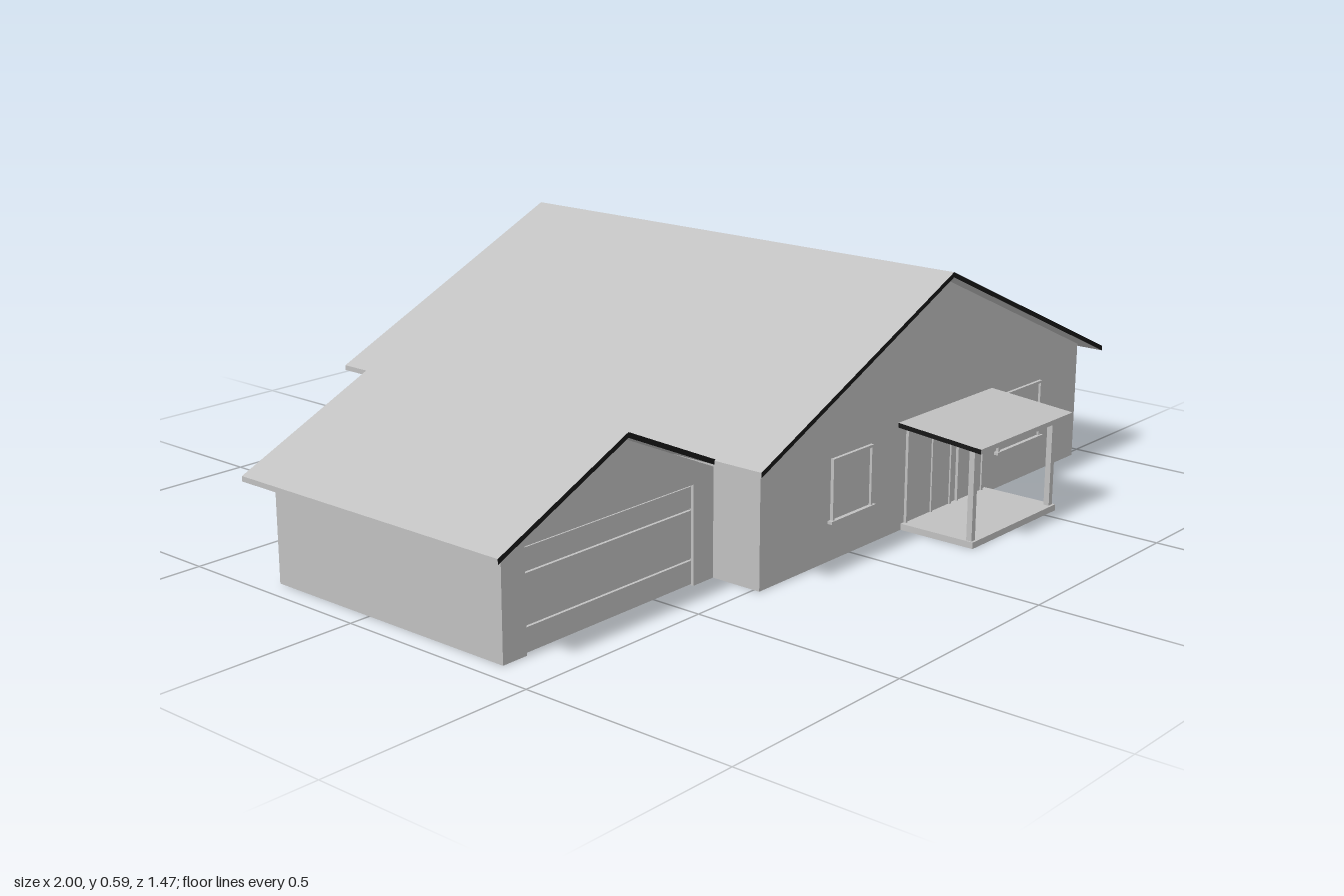
import * as THREE from 'three';

const siding = new THREE.MeshStandardMaterial({ color: 0xc0c0c0, side: THREE.DoubleSide });
siding.name = 'light grey';
const trim = new THREE.MeshStandardMaterial({ color: 0x161616 });
trim.name = 'black edge trim';

function add(parent, name, geometry, material = siding) {
  const mesh = new THREE.Mesh(geometry, material);
  mesh.name = name;
  parent.add(mesh);
  return mesh;
}

// Box given by its min and max corners
function box(parent, name, [x0, y0, z0], [x1, y1, z1]) {
  const mesh = add(parent, name, new THREE.BoxGeometry(x1 - x0, y1 - y0, z1 - z0));
  mesh.position.set((x0 + x1) / 2, (y0 + y1) / 2, (z0 + z1) / 2);
  return mesh;
}

// Outline in x and y, pushed from z0 to z1
function prism(points, z0, z1) {
  const shape = new THREE.Shape(points.map(([x, y]) => new THREE.Vector2(x, y)));
  return new THREE.ExtrudeGeometry(shape, { depth: z1 - z0, bevelEnabled: false }).translate(0, 0, z0);
}

// Gabled roof sheet with dark edges on both gable ends
function gableRoof(parent, name, [xl, yl], [xm, ym], [xr, yr], z0, z1) {
  const t = 0.012;
  const outline = [[xl, yl - t], [xm, ym - t], [xr, yr - t], [xr, yr], [xm, ym], [xl, yl]];
  add(parent, name, prism(outline, z0, z1), [trim, siding]);
}

// Window with proud frame, pane, centre bar and sill; its back lies on local z = 0
function makeWindow(parent, w, x, z, turn, bar) {
  const g = new THREE.Group();
  g.name = 'window';
  const y0 = 0.095, y1 = 0.235, f = 0.006, h = w / 2;
  box(g, 'windowPane', [-h, y0, 0], [h, y1, 0.002]);
  for (const s of [-1, 1]) {
    const a = s * h, b = s * (h - f);
    box(g, 'windowJamb', [Math.min(a, b), y0, 0], [Math.max(a, b), y1, 0.008]);
  }
  box(g, 'windowHead', [-h + f, y1 - f, 0], [h - f, y1, 0.008]);
  if (bar) box(g, 'windowBar', [-f / 2, y0, 0], [f / 2, y1 - f, 0.006]);
  box(g, 'windowSill', [-h - 0.008, y0 - 0.007, 0], [h + 0.008, y0, 0.012]);
  g.position.set(x, 0, z);
  g.rotation.y = turn;
  parent.add(g);
}

function makeHouse() {
  const g = new THREE.Group();
  g.name = 'mainHouse';
  const zb = -0.69, zf = 0.515;
  add(g, 'houseWalls', prism([[-0.32, 0], [0.95, 0], [0.95, 0.292], [0.315, 0.574], [-0.32, 0.292]], zb, zf));
  gableRoof(g, 'houseRoof', [-0.37, 0.284], [0.315, 0.588], [1, 0.284], -0.735, 0.557);

  // Windows on the front, back and right-hand walls
  for (const [w, x] of [[0.147, -0.002], [0.187, 0.682]]) {
    makeWindow(g, w, x, zf, 0, false);
    makeWindow(g, 0.152, x, zb, Math.PI, false);
  }
  for (const z of [0.197, -0.392]) makeWindow(g, 0.127, 0.95, z, Math.PI / 2, true);

  // Entry doors: two leaves with stiles between
  box(g, 'doorHead', [0.207, 0.228, zf], [0.525, 0.236, zf + 0.008]);
  for (const [a, b] of [[0.207, 0.213], [0.307, 0.312], [0.384, 0.39], [0.415, 0.42], [0.519, 0.525]])
    box(g, 'doorStile', [a, 0.015, zf], [b, 0.228, zf + 0.007]);
  for (const [a, b] of [[0.213, 0.307], [0.312, 0.384], [0.42, 0.519]])
    box(g, 'doorPanel', [a, 0.015, zf], [b, 0.228, zf + 0.003]);
  return g;
}

function makePorch() {
  const g = new THREE.Group();
  g.name = 'porch';
  box(g, 'porchFloor', [0.195, 0, 0.515], [0.545, 0.015, 0.71]);
  for (const x of [0.199, 0.526])
    box(g, 'porchPost', [x, 0.015, 0.69], [x + 0.014, 0.232, 0.704]);
  // Sloping roof: outline in the z-y plane, pushed along x
  const sheet = prism([[-0.735, 0.23], [-0.51, 0.249], [-0.51, 0.26], [-0.735, 0.241]], 0.175, 0.56);
  add(g, 'porchRoof', sheet.rotateY(Math.PI / 2), [trim, siding]);
  return g;
}

function makeGarage() {
  const g = new THREE.Group();
  g.name = 'garage';
  const zb = -0.285, zf = 0.388, t = 0.014;
  const gable = [[-0.32, 0.25], [-0.635, 0.392], [-0.95, 0.25]];
  // Front wall is notched for the door; the garage has no floor
  add(g, 'garageFront', prism([[-0.95, 0], [-0.885, 0], [-0.885, 0.226], [-0.385, 0.226],
    [-0.385, 0], [-0.32, 0], ...gable], zf - t, zf));
  add(g, 'garageBack', prism([[-0.95, 0], [-0.32, 0], ...gable], zb, zb + t));
  box(g, 'garageSide', [-0.95, 0, zb + t], [-0.95 + t, 0.25, zf - t]);
  gableRoof(g, 'garageRoof', [-1, 0.243], [-0.635, 0.407], [-0.32, 0.265], -0.33, 0.432);

  // Sectional door
  box(g, 'garageDoorBack', [-0.885, 0, zf - t], [-0.385, 0.226, zf - 0.011]);
  for (const [a, b] of [[0.004, 0.057], [0.062, 0.169], [0.174, 0.222]])
    box(g, 'garageDoorPanel', [-0.882, a, zf - 0.011], [-0.388, b, zf - 0.004]);
  return g;
}

export function createModel() {
  const model = new THREE.Group();
  model.name = 'house';
  model.add(makeHouse(), makePorch(), makeGarage());
  return model;
}
